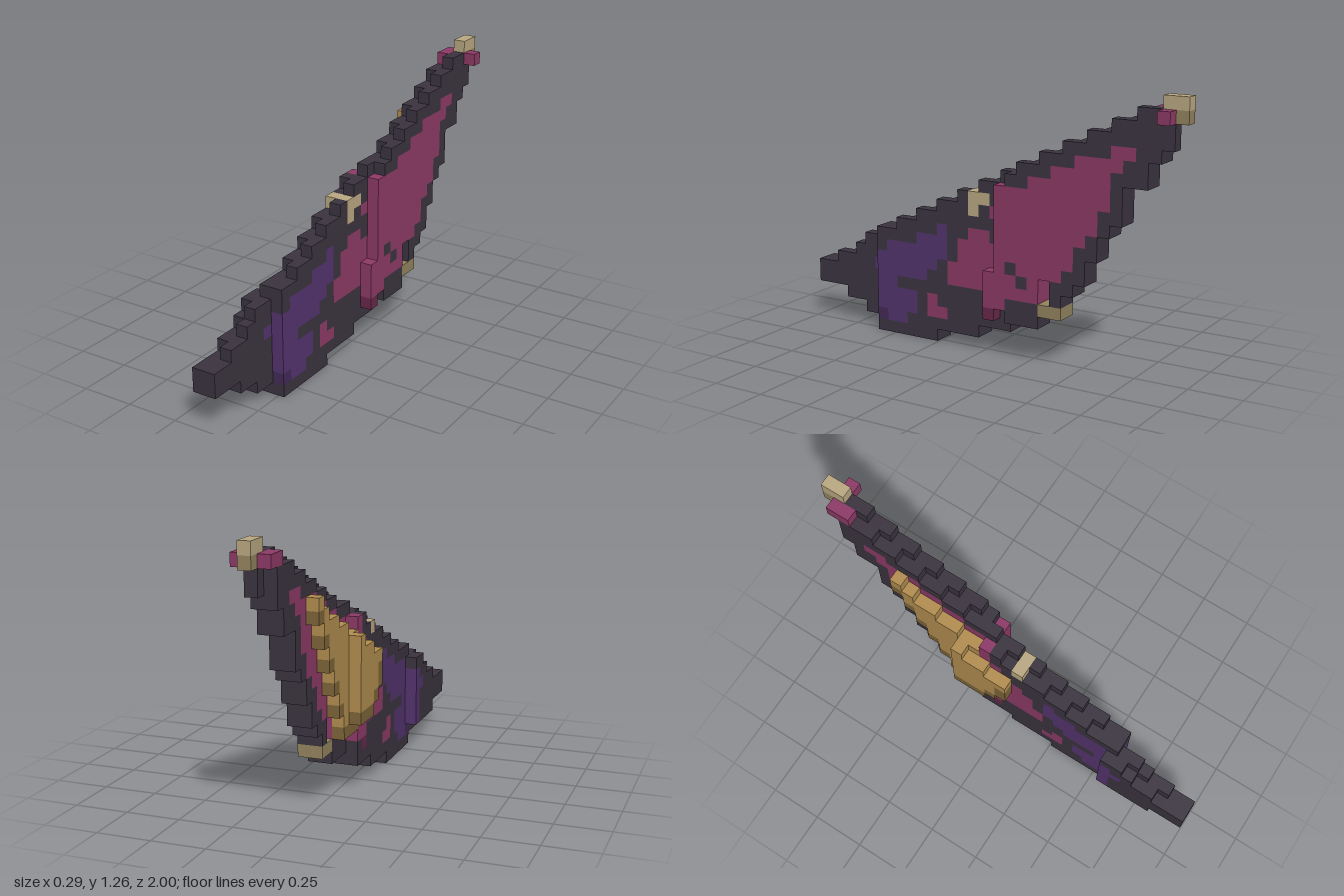
import * as THREE from 'three';

const V = 2 / 35; // cube size: grid is 5 wide (x), 22 tall (y), 35 deep (z, counted from the front)

const mat = (name, color) => {
  const m = new THREE.MeshStandardMaterial({ color });
  m.name = name;
  return m;
};

// Height of the leading edge above each column, rising one cube every two columns
const ridge = k => 5 + Math.floor((k < 4 ? k : k + 1) / 2);

// Lowest cube of each column along the trailing edge
const UNDER = [3, 3, 3, 2, 2, 1, 1, 0, 0, 0, 0, 0, 0, 1, 1, 1, 1, 2, 2, 2, 3, 3, 3, 7, 5, 6, 7, 9, 11, 12, 15, 15, 17, 18];

// Membrane patches as [row, first column, last column]
const PURPLE = [[9, 13, 13], [8, 11, 13], [7, 8, 13], [6, 7, 12], [5, 6, 11], [4, 7, 8],
  [3, 7, 10], [2, 7, 10], [1, 8, 9]];
const PINK = [[2, 12, 13], [3, 12, 12], [4, 18, 19], [5, 14, 22], [6, 14, 20], [6, 22, 22],
  [7, 15, 19], [7, 21, 24], [8, 15, 25], [9, 16, 17], [9, 19, 25], [10, 19, 26], [11, 18, 27],
  [12, 19, 27], [13, 19, 28], [14, 22, 28], [15, 24, 28], [16, 26, 29], [17, 29, 30]];
const inside = (spans, k, j) => spans.some(([row, a, b]) => row === j && k >= a && k <= b);

function wingPart(k, j) {
  if (k === 18 && j === 3) return 'membraneHem';
  if (k === 7 && j === 1) return 'foreMembraneHem';
  if (inside(PINK, k, j)) return 'membrane';
  if (inside(PURPLE, k, j)) return 'foreMembrane';
  return 'wingFrame';
}

function fillGrid() {
  const grid = new Map();
  const set = (x, k, j, part) => grid.set(`${x},${j},${k}`, part);

  // Wing: overlapping layers stepping sideways towards the tip
  const layers = [[0, 7, 0], [0, 19, 8], [7, 32, 20], [18, 33, 99]];
  layers.forEach(([first, last, shifted], x) => {
    for (let k = first; k <= last; k++) {
      let top = Math.max(5, ridge(k >= shifted ? k - 1 : k));
      let low = x === 0 ? Math.max(2, UNDER[k]) : UNDER[k];
      if (k === 33) top = 20;
      if (x === 2 && k === 32) top = 20;
      if (x === 3 && k === 18) [low, top] = [3, 7];
      if (x === 3 && k === 19) [low, top] = [4, 14];
      for (let j = low; j < top; j++) set(x, k, j, wingPart(k, j));
    }
  });

  // Golden fan on the outer side, lowest cubes darker
  const fan = (x, first, tops, lows) => tops.forEach((top, i) => {
    const k = first + i;
    for (let j = lows[i]; j < top; j++) {
      set(x, k, j, j < lows[i] + (k === 17 ? 2 : 1) ? 'fanHem' : 'fan');
    }
  });
  fan(0, 17, [11, 11, 12, 12, 13], [8, 7, 6, 6, 6]);
  fan(1, 20, [13, 13, 14, 14, 15, 15, 16, 17], [5, 5, 5, 7, 9, 11, 13, 15]);

  // Claws: wing tip, leading edge and trailing edge
  for (const k of [33, 34]) {
    set(3, k, 21, 'claw');
    set(3, k, 20, 'clawBase');
  }
  for (const x of [1, 2]) for (const j of [11, 12]) set(x, 16, j, j === 11 && x === 1 ? 'wingFrame' : 'claw');
  set(2, 17, 12, 'claw');
  for (const x of [2, 3]) for (const k of [23, 24]) set(x, k, 4, 'clawBase');

  // Cuffs around the tip claw
  set(2, 32, 20, 'membrane');
  set(2, 33, 20, 'membrane');
  set(4, 33, 20, 'membrane');
  return grid;
}

// Six cube sides: direction in (x, y, column) and the plane rotation facing that way
const SIDES = [
  [1, 0, 0, 0, Math.PI / 2], [-1, 0, 0, 0, -Math.PI / 2],
  [0, 1, 0, -Math.PI / 2, 0], [0, -1, 0, Math.PI / 2, 0],
  [0, 0, -1, 0, 0], [0, 0, 1, 0, Math.PI],
].map(([x, y, k, rx, ry]) => {
  const g = new THREE.PlaneGeometry(V, V).toNonIndexed();
  g.translate(0, 0, V / 2);
  g.rotateX(rx).rotateY(ry);
  return { x, y, k, corners: g.attributes.position.array };
});

export function createModel() {
  const materials = {
    wingFrame: mat('charcoal', 0x3b3440),
    membrane: mat('magenta', 0x8e3a67),
    membraneHem: mat('dark magenta', 0x6a284c),
    foreMembrane: mat('purple', 0x54346f),
    foreMembraneHem: mat('dark purple', 0x432a58),
    fan: mat('gold', 0xb38e50),
    fanHem: mat('dark gold', 0x7f6539),
    claw: mat('bone', 0xbba982),
    clawBase: mat('dark bone', 0x948460),
  };
  const group = new THREE.Group();
  group.name = 'wing';
  const grid = fillGrid();

  // One mesh per part, keeping only the exposed cube sides
  for (const [name, material] of Object.entries(materials)) {
    const points = [];
    for (const [key, part] of grid) {
      if (part !== name) continue;
      const [x, j, k] = key.split(',').map(Number);
      for (const s of SIDES) {
        if (grid.has(`${x + s.x},${j + s.y},${k + s.k}`)) continue;
        for (let i = 0; i < s.corners.length; i += 3) {
          points.push(s.corners[i] + (x - 2) * V, s.corners[i + 1] + (j + 0.5) * V, s.corners[i + 2] + (17 - k) * V);
        }
      }
    }
    const geometry = new THREE.BufferGeometry();
    geometry.setAttribute('position', new THREE.Float32BufferAttribute(points, 3));
    geometry.computeVertexNormals();
    const mesh = new THREE.Mesh(geometry, material);
    mesh.name = name;
    group.add(mesh);
  }
  return group;
}
